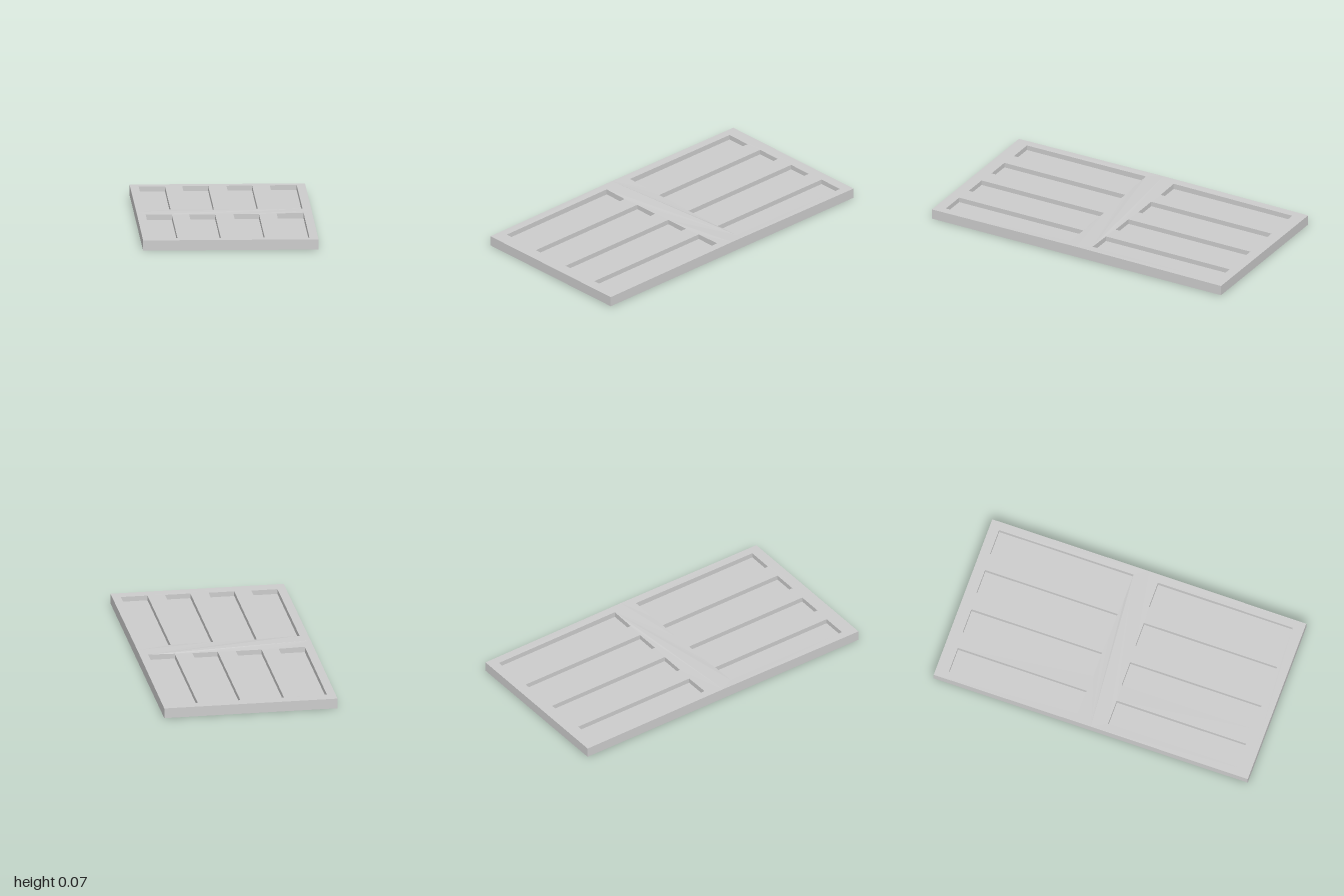
import * as THREE from 'three';

const HALF_W = 0.527, HALF_L = 1, FLOOR = 0.032, TOP = 0.062;

// Rectangle outline as a path; plan z is stored as -y
function rect(target, x0, x1, z0, z1) {
  target.moveTo(x0, -z1);
  target.lineTo(x1, -z1);
  target.lineTo(x1, -z0);
  target.lineTo(x0, -z0);
  target.closePath();
  return target;
}

export function createModel() {
  const group = new THREE.Group();
  group.name = 'panelledDoor';
  const material = new THREE.MeshStandardMaterial({ color: 0xcccccc, flatShading: true });

  // Solid backing slab, its top is the floor of the recesses
  const slab = new THREE.Mesh(new THREE.BoxGeometry(HALF_W * 2, FLOOR, HALF_L * 2), material);
  slab.name = 'backingSlab';
  slab.position.y = FLOOR / 2;
  group.add(slab);

  // Frame outline with a point halfway along each long side
  const outline = new THREE.Shape([
    [-HALF_W, -HALF_L], [HALF_W, -HALF_L], [HALF_W, 0],
    [HALF_W, HALF_L], [-HALF_W, HALF_L], [-HALF_W, 0],
  ].map(([x, y]) => new THREE.Vector2(x, y)));

  // Four columns of two recesses, drifting slightly from column to column
  const columns = [[-0.475, -0.317], [-0.213, -0.057], [0.053, 0.207], [0.313, 0.475]];
  columns.forEach(([x0, x1], i) => {
    const drift = i * 0.006;
    outline.holes.push(rect(new THREE.Path(), x0, x1, -0.92 - drift, -0.1 + drift));
    outline.holes.push(rect(new THREE.Path(), x0, x1, 0.092 - drift, 0.915 + drift));
  });

  const frameGeometry = new THREE.ExtrudeGeometry(outline, { depth: TOP - FLOOR, bevelEnabled: false });
  frameGeometry.rotateX(-Math.PI / 2).translate(0, FLOOR, 0);

  // Lift the long edges gently towards their middles
  const p = frameGeometry.attributes.position;
  for (let i = 0; i < p.count; i++) {
    if (p.getY(i) < TOP - 0.001) continue;
    const side = Math.max(0, (Math.abs(p.getX(i)) - 0.285) / (HALF_W - 0.285));
    p.setY(i, TOP + 0.006 * side * (1 - Math.abs(p.getZ(i)) / HALF_L));
  }
  frameGeometry.computeVertexNormals();

  const frame = new THREE.Mesh(frameGeometry, material);
  frame.name = 'recessedFrame';
  group.add(frame);
  return group;
}
